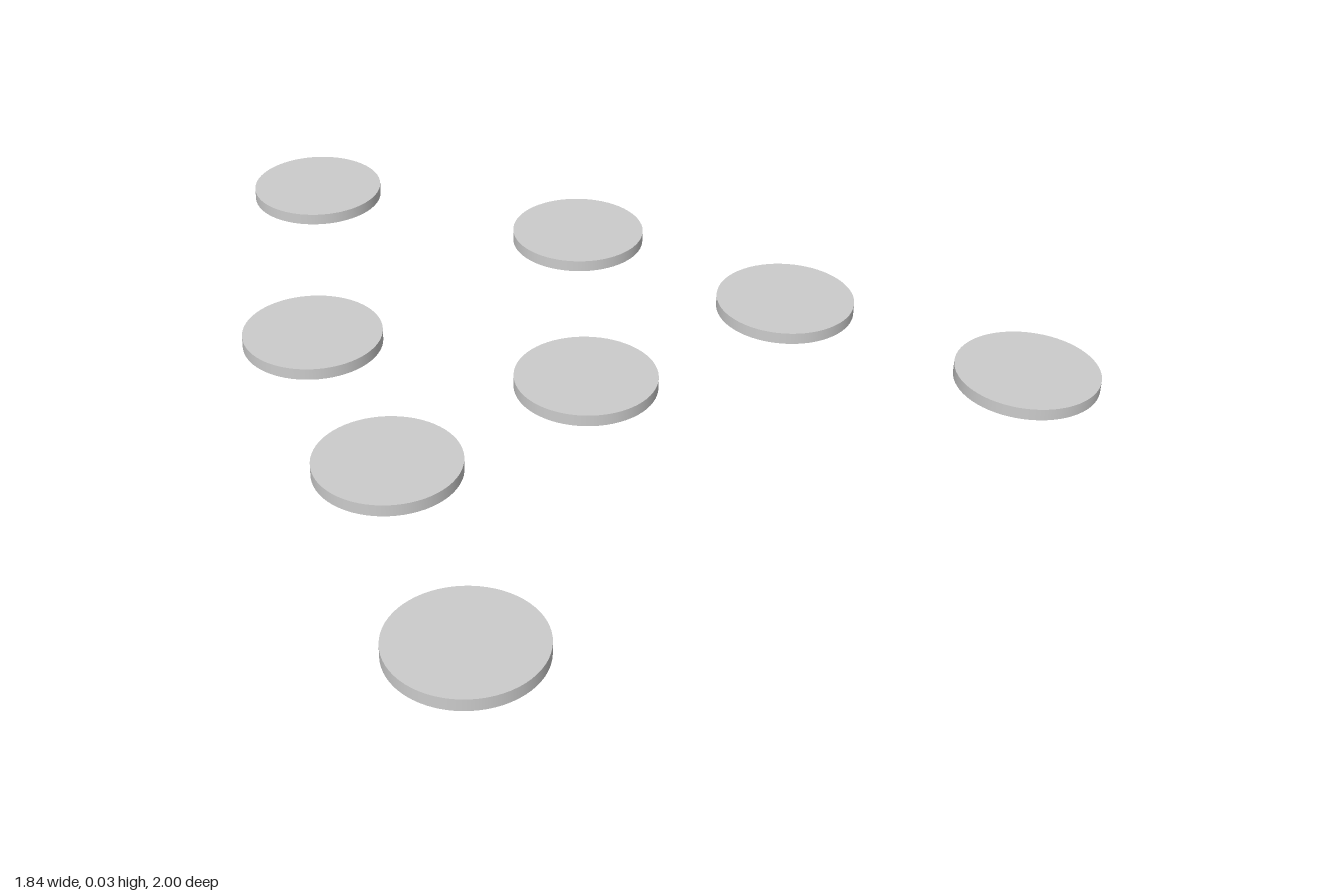
import * as THREE from 'three';

const RADIUS = 0.159;
const HEIGHT = 0.027;

// Disc centres [x, z], row by row from back to front
const ROWS = [
  [[-0.01, -0.841]],
  [[-0.404, -0.248], [0.372, -0.256]],
  [[-0.552, 0.269], [-0.026, 0.269], [0.549, 0.293]],
  [[-0.76, 0.829], [0.759, 0.841]],
];

export function createModel() {
  const model = new THREE.Group();
  model.name = 'discArrangement';

  // One thin round disc, shared by every position and resting on the ground
  const geometry = new THREE.CylinderGeometry(RADIUS, RADIUS, HEIGHT, 64);
  geometry.translate(0, HEIGHT / 2, 0);
  const material = new THREE.MeshStandardMaterial({ color: 0xcccccc });

  ROWS.forEach((row, r) => {
    const group = new THREE.Group();
    group.name = `discRow${r + 1}`;
    row.forEach(([x, z], i) => {
      const disc = new THREE.Mesh(geometry, material);
      disc.name = `disc${r + 1}_${i + 1}`;
      disc.position.set(x, 0, z);
      group.add(disc);
    });
    model.add(group);
  });

  return model;
}
